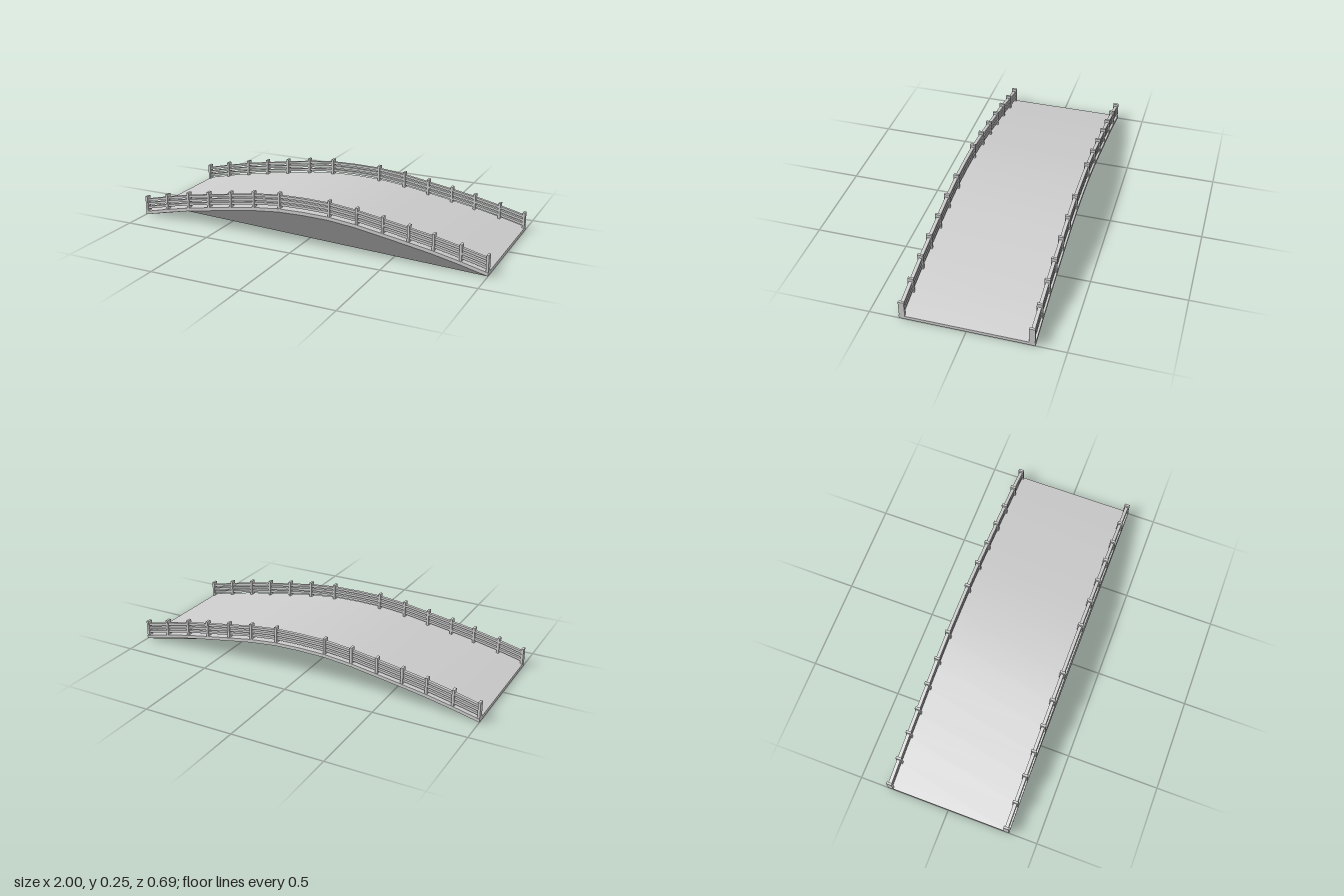
import * as THREE from 'three';

const HALF_W = 0.345, THICK = 0.018;
const material = new THREE.MeshStandardMaterial({ color: 0xcccccc, side: THREE.DoubleSide });

// Half profile of the arched deck top, mirrored about the middle
const half = [[0, 0.17], [0.145, 0.167], [0.3, 0.151], [0.443, 0.128], [0.583, 0.105],
  [0.715, 0.082], [0.857, 0.052], [1, 0.018]];
const arch = [...half.slice(1).reverse().map(([x, y]) => [-x, y]), ...half];

function deckY(x) {
  let i = 0;
  while (i < arch.length - 2 && arch[i + 1][0] < x) i++;
  const [x0, y0] = arch[i], [x1, y1] = arch[i + 1];
  return y0 + (y1 - y0) * (x - x0) / (x1 - x0);
}

const line = (dy, z) => arch.map(([x, y]) => new THREE.Vector3(x, y + dy, z));

function addMesh(group, name, geometry) {
  const mesh = new THREE.Mesh(geometry, material);
  mesh.name = name;
  group.add(mesh);
  return mesh;
}

// Surface between two rows of points
function strip(a, b) {
  const n = a.length, index = [];
  for (let i = 0; i < n - 1; i++) index.push(i, n + i, i + 1, n + i, n + i + 1, i + 1);
  const g = new THREE.BufferGeometry().setFromPoints([...a, ...b]);
  g.setIndex(index);
  g.computeVertexNormals();
  return g;
}

// Underside: one many-cornered face fanned from a single corner
function undersideGeometry() {
  const loop = [...line(-THICK, HALF_W), ...line(-THICK, -HALF_W).reverse()];
  const hub = 2, n = loop.length, index = [];
  for (let k = 1; k < n - 1; k++) index.push(hub, (hub + k + 1) % n, (hub + k) % n);
  const g = new THREE.BufferGeometry().setFromPoints(loop);
  g.setIndex(index);
  const down = loop.flatMap(() => [0, -1, 0]);
  g.setAttribute('normal', new THREE.Float32BufferAttribute(down, 3));
  return g;
}

// Rail: a band that follows the arch
function railGeometry(y0, y1, depth) {
  const upper = line(y1, 0), lower = line(y0, 0).reverse();
  const shape = new THREE.Shape([...upper, ...lower].map(p => new THREE.Vector2(p.x * 0.995, p.y)));
  return new THREE.ExtrudeGeometry(shape, { depth, bevelEnabled: false }).translate(0, 0, -depth / 2);
}

export function createModel() {
  const model = new THREE.Group();
  model.name = 'archedBridge';

  // Deck
  const deck = new THREE.Group();
  deck.name = 'deck';
  model.add(deck);
  const topF = line(0, HALF_W), topB = line(0, -HALF_W);
  const lowF = line(-THICK, HALF_W), lowB = line(-THICK, -HALF_W);
  const last = arch.length - 1;
  addMesh(deck, 'walkway', strip(topB, topF));
  addMesh(deck, 'frontEdge', strip(topF, lowF));
  addMesh(deck, 'backEdge', strip(lowB, topB));
  addMesh(deck, 'leftEnd', strip([topF[last], topB[last]], [lowF[last], lowB[last]]));
  addMesh(deck, 'rightEnd', strip([topB[0], topF[0]], [lowB[0], lowF[0]]));
  addMesh(deck, 'underside', undersideGeometry());

  // Railings on both sides
  const postGeometry = new THREE.BoxGeometry(0.013, 0.089, 0.03);
  const rails = [0.014, 0.036, 0.058].map(y => railGeometry(y, y + 0.013, 0.018));
  for (const side of [1, -1]) {
    const railing = new THREE.Group();
    railing.name = side > 0 ? 'frontRailing' : 'backRailing';
    railing.position.z = side * 0.328;
    model.add(railing);
    for (const [px] of arch) {
      if (px === 0) continue;
      const x = THREE.MathUtils.clamp(px, -0.9935, 0.9935);
      addMesh(railing, 'post', postGeometry).position.set(x, deckY(x) + 0.0425, 0);
    }
    for (const g of rails) addMesh(railing, 'rail', g);
  }
  return model;
}
